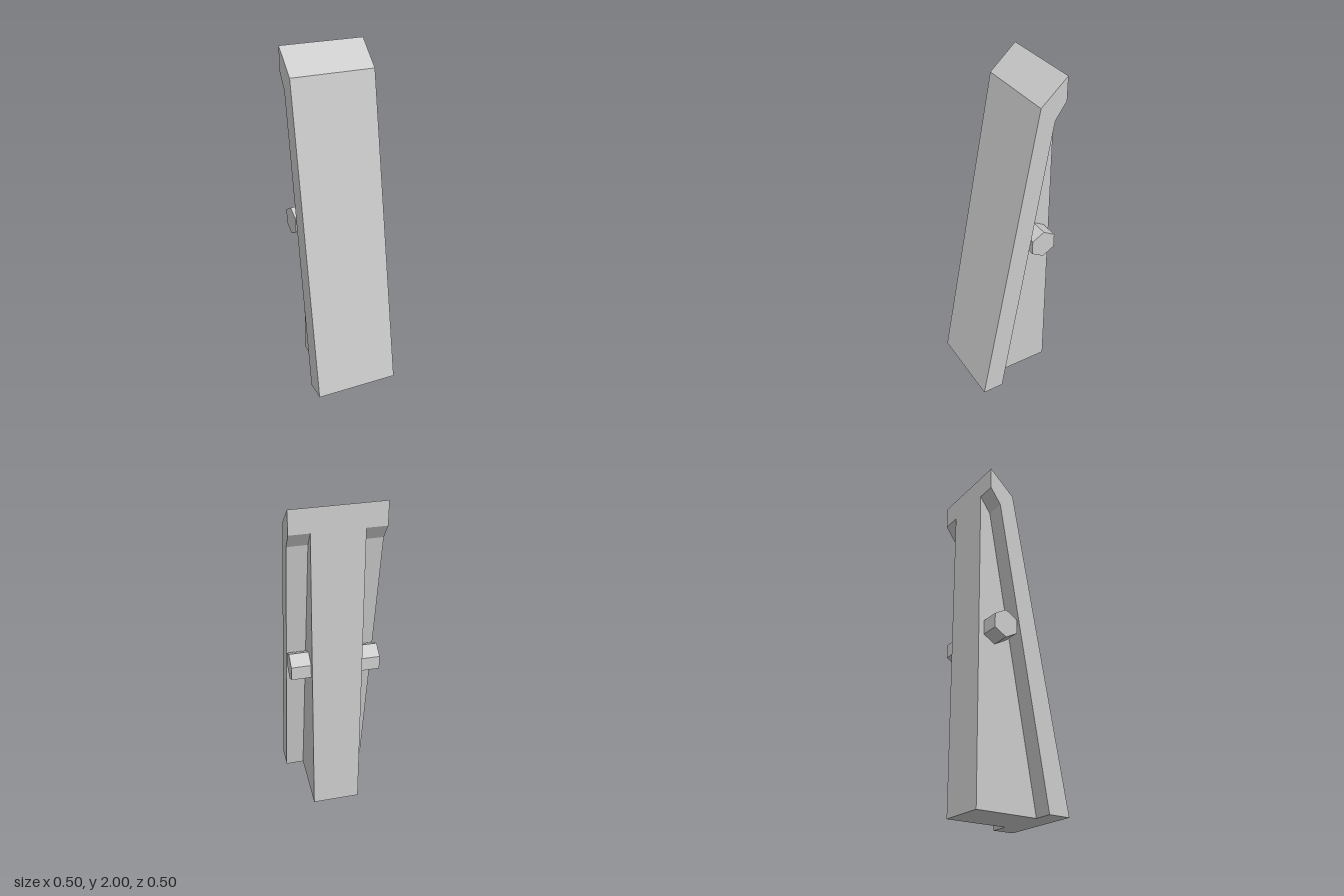
import * as THREE from 'three';

const material = new THREE.MeshStandardMaterial({ color: 0xcccccc, flatShading: true });

// Extrudes a side profile of [z, y] points across x, centred on x = 0.
function sideProfile(name, points, width) {
  const shape = new THREE.Shape(points.map(([z, y]) => new THREE.Vector2(z, y)));
  const geometry = new THREE.ExtrudeGeometry(shape, { depth: width, bevelEnabled: false });
  geometry.translate(0, 0, -width / 2).rotateY(-Math.PI / 2);
  const mesh = new THREE.Mesh(geometry, material);
  mesh.name = name;
  return mesh;
}

export function createModel() {
  const model = new THREE.Group();
  model.name = 'leaningPost';

  // Wide sloping front plate with its hooked top
  model.add(sideProfile('frontPlate', [
    [0.25, 0], [-0.095, 1.862], [-0.25, 2], [-0.25, 1.865], [-0.184, 1.77], [0.121, 0],
  ], 0.5));

  // Narrower wedge-shaped web behind the plate
  model.add(sideProfile('rearWeb', [
    [0.121, 0], [-0.184, 1.77], [-0.25, 1.865], [-0.25, 0],
  ], 0.28));

  // Hexagonal pegs on both sides, one corner pointing up
  const length = 0.11;
  for (const [side, name] of [[1, 'leftPeg'], [-1, 'rightPeg']]) {
    const geometry = new THREE.CylinderGeometry(0.083, 0.083, length, 6);
    geometry.rotateY(Math.PI / 2).rotateZ(Math.PI / 2);
    const peg = new THREE.Mesh(geometry, material);
    peg.name = name;
    peg.position.set(side * (0.25 - length / 2), 1.005, -0.145);
    model.add(peg);
  }

  return model;
}
